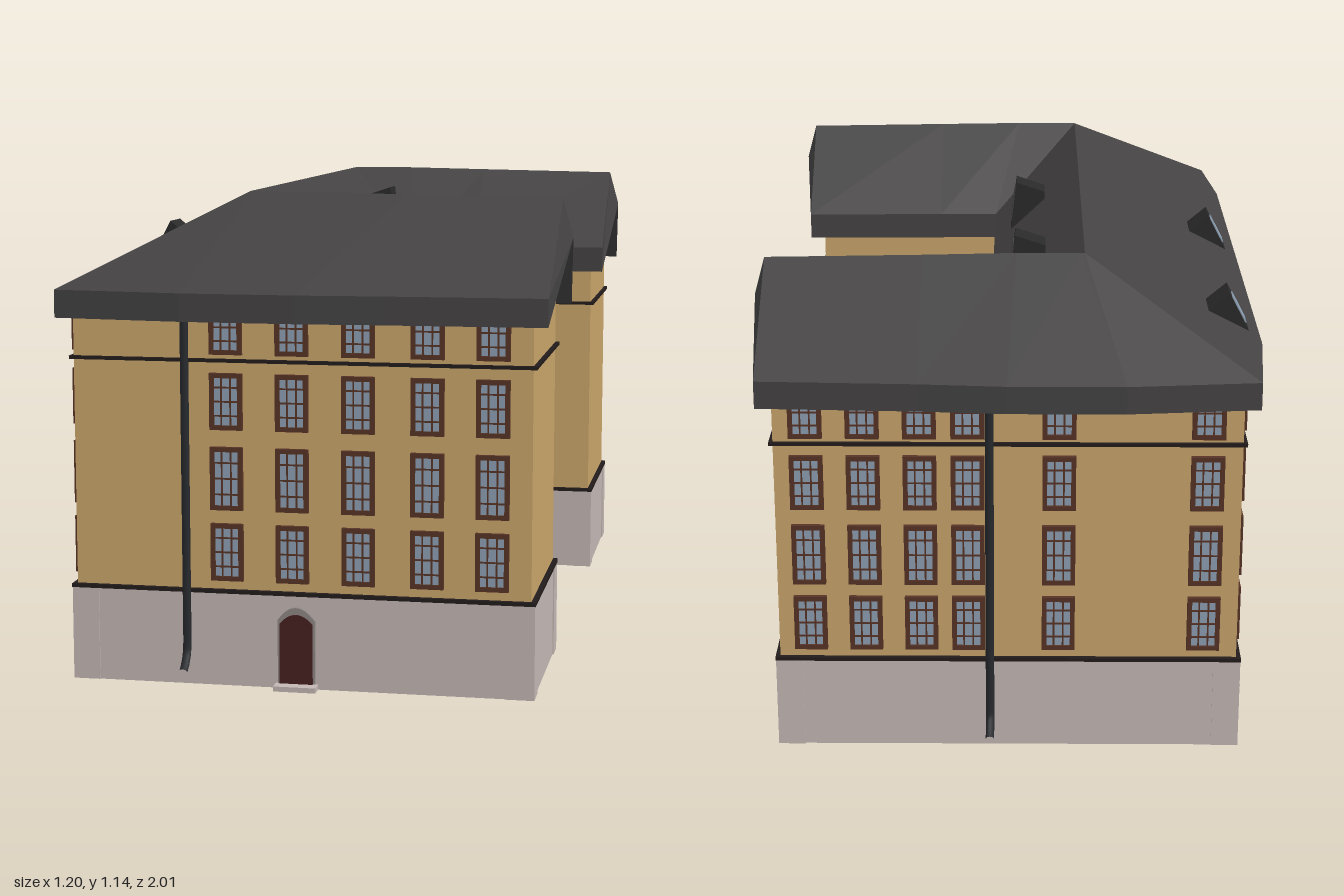
import * as THREE from 'three';
import { mergeGeometries } from 'three/addons/utils/BufferGeometryUtils.js';

const mat = (color, extra = {}) => new THREE.MeshStandardMaterial({ color, ...extra });
const M = {
  wall: mat(0xc9a56b), stone: mat(0xc3b7b3), trim: mat(0x221c1b),
  roof: mat(0x444243, { flatShading: true, side: THREE.DoubleSide }),
  frame: mat(0x573325), glass: mat(0x8c9fb2), door: mat(0x45201f),
  surround: mat(0x8d8583), pipe: mat(0x26292d), dark: mat(0x2a2a2b),
};

// Plan of the house: a U open towards +x
const W = -0.54, E = 0.535, COURT = 0.01, ZO = 0.94, ZI = 0.48;
const outline = (o) => [
  [W - o, ZO + o], [E + o, ZO + o], [E + o, ZI - o], [COURT + o, ZI - o],
  [COURT + o, -ZI + o], [E + o, -ZI + o], [E + o, -ZO - o], [W - o, -ZO - o],
].map(([x, z]) => new THREE.Vector2(x, -z));

function mesh(name, geometry, material) {
  const m = new THREE.Mesh(geometry, material);
  m.name = name;
  return m;
}

const box = (w, h, d, x = 0, y = 0, z = 0) => new THREE.BoxGeometry(w, h, d).translate(x, y, z);

// Thin hollow wall following the plan, from y0 to y1
function ring(name, o, y0, y1, thick, material) {
  const s = new THREE.Shape(outline(o));
  s.holes.push(new THREE.Path(outline(o - thick)));
  const g = new THREE.ExtrudeGeometry(s, { depth: y1 - y0, bevelEnabled: false });
  return mesh(name, g.rotateX(-Math.PI / 2).translate(0, y0, 0), material);
}

// Position on one of the faces: u runs along the wall, o pushes outwards
const FACES = {
  front: (u, o) => [u, ZO + o, 0],
  back: (u, o) => [u, -ZO - o, Math.PI],
  west: (u, o) => [W - o, u, -Math.PI / 2],
  court: (u, o) => [COURT + o, u, Math.PI / 2],
  innerFront: (u, o) => [u, ZI - o, Math.PI],
  innerBack: (u, o) => [u, -ZI + o, 0],
};
function place(obj, face, u, y, o = 0) {
  const [x, z, a] = FACES[face](u, o);
  obj.position.set(x, y, z);
  obj.rotation.y = a;
  return obj;
}

// Window geometry, centred on the wall so it shows on both sides
const cache = {};
function makeWindow(w, h, rows) {
  const key = [w, h, rows].join();
  if (!cache[key]) {
    const t = 0.011, bars = [];
    for (const s of [-1, 1]) {
      bars.push(box(t, h, 0.028, s * (w - t) / 2));
      bars.push(box(w, t, 0.028, 0, s * (h - t) / 2));
    }
    for (const s of [-1, 1]) bars.push(box(0.004, h, 0.023, s * w * 0.14));
    for (let i = 1; i < rows; i++) bars.push(box(w, 0.004, 0.023, 0, h * (i / rows - 0.5)));
    cache[key] = { frame: mergeGeometries(bars), glass: box(w - t, h - t, 0.019) };
  }
  const g = new THREE.Group();
  g.name = 'window';
  g.add(mesh('windowFrame', cache[key].frame, M.frame), mesh('windowGlass', cache[key].glass, M.glass));
  return g;
}

// Arched panel standing on y = 0
function arch(w, h, rise, depth) {
  const s = new THREE.Shape();
  s.moveTo(-w / 2, 0).lineTo(w / 2, 0).lineTo(w / 2, h - rise);
  s.quadraticCurveTo(w / 4, h, 0, h).quadraticCurveTo(-w / 4, h, -w / 2, h - rise);
  return new THREE.ExtrudeGeometry(s, { depth, bevelEnabled: false, curveSegments: 6 }).translate(0, 0, -depth / 2);
}
function makeDoor() {
  const g = new THREE.Group();
  g.name = 'door';
  g.add(mesh('doorSurround', arch(0.088, 0.18, 0.03, 0.024), M.surround));
  g.add(mesh('doorLeaf', arch(0.078, 0.164, 0.022, 0.032), M.door));
  g.add(mesh('doorStep', box(0.1, 0.012, 0.04, 0, -0.008, 0.018), M.stone));
  return g;
}

// Downpipe with a kicked-out foot
function makePipe() {
  const pts = [[0.87, 0], [0.5, 0], [0.1, 0], [0.075, 0.004], [0.05, 0.025], [0.04, 0.04]];
  const path = new THREE.CurvePath();
  for (let i = 1; i < pts.length; i++) {
    const v = (p) => new THREE.Vector3(0, p[0], p[1]);
    path.add(new THREE.LineCurve3(v(pts[i - 1]), v(pts[i])));
  }
  return mesh('downpipe', new THREE.TubeGeometry(path, 40, 0.01, 8), M.pipe);
}

// Roof lofted along the U: each station holds outer eave, ridge and inner eave
function makeRoof() {
  const half = [ // [outer x, z], [ridge x, z, y], [inner x, z]
    [[0.57, 0.97], [0.57, 0.675, 1.13], [0.57, 0.44]],
    [[0.2, 0.985], [0.2, 0.675, 1.136], [0.2, 0.445]],
    [[0, 1], [-0.02, 0.672, 1.14], [0.045, 0.45]],
    [[-0.27, 1], [-0.17, 0.67, 1.14], [0.045, 0.45]],
    [[-0.575, 0.97], [-0.18, 0.67, 1.14], [0.045, 0.45]],
    [[-0.6, 0.69], [-0.18, 0.67, 1.14], [0.045, 0.45]],
  ];
  const flip = half.map((s) => s.map(([x, z, y]) => [x, -z, y])).reverse();
  const stations = [...half, ...flip];
  const pos = [], idx = [];
  stations.forEach(([o, r, n], i) => {
    const tip = i === 0 || i === stations.length - 1 ? 0.025 : 0;
    pos.push(o[0], 0.925, o[1], r[0], r[2], r[1], n[0], 0.928, n[1]);
    pos.push(n[0], 0.86, n[1], r[0] + tip, 1.04, r[1], o[0], 0.86, o[1]);
    if (!i) return;
    for (let k = 0; k < 6; k++) {
      const a = (i - 1) * 6 + k, b = (i - 1) * 6 + (k + 1) % 6;
      idx.push(a, b, a + 6, b, b + 6, a + 6);
    }
  });
  const e = (stations.length - 1) * 6;
  const quad = (a, b, c, d) => idx.push(a, b, c, a, c, d);
  quad(0, 5, 4, 1); quad(1, 4, 3, 2);
  quad(e, e + 1, e + 4, e + 5); quad(e + 1, e + 2, e + 3, e + 4);
  const g = new THREE.BufferGeometry();
  g.setAttribute('position', new THREE.Float32BufferAttribute(pos, 3));
  g.setIndex(idx);
  const flat = g.toNonIndexed();
  flat.computeVertexNormals();
  return mesh('roof', flat, M.roof);
}

// Wedge dormer from an x-y profile, with a panel on its first edge
function makeDormer(name, profile, z, width, panelMat) {
  const g = new THREE.Group();
  g.name = name;
  const s = new THREE.Shape(profile.map(([x, y]) => new THREE.Vector2(x, y)));
  g.add(mesh('dormerBody', new THREE.ExtrudeGeometry(s, { depth: width, bevelEnabled: false }).translate(0, 0, -width / 2), M.dark));
  const [[x0, y0], [x1, y1]] = profile;
  const len = Math.hypot(x1 - x0, y1 - y0);
  const p = mesh('dormerPanel', box(0.006, len * 0.65, width * 0.55), panelMat);
  p.position.set((x0 + x1) / 2, (y0 + y1) / 2, 0);
  p.rotation.z = Math.atan2(y1 - y0, x1 - x0) - Math.PI / 2;
  g.add(p);
  g.position.z = z;
  return g;
}

export function createModel() {
  const house = new THREE.Group();
  house.name = 'house';

  // Plinth, walls and string courses
  house.add(ring('plinth', 0.007, 0, 0.222, 0.012, M.stone));
  house.add(ring('walls', 0, 0.222, 0.885, 0.008, M.wall));
  house.add(ring('lowerBand', 0.011, 0.22, 0.229, 0.012, M.trim));
  house.add(ring('upperBand', 0.009, 0.762, 0.77, 0.01, M.trim));

  // Gables and corner stones
  for (const s of [-1, 1]) {
    const tri = new THREE.Shape([[-ZO, 0.885], [-ZI, 0.885], [-0.675, 1.04]].map(([a, b]) => new THREE.Vector2(a * s, b)));
    const gable = new THREE.ExtrudeGeometry(tri, { depth: 0.008, bevelEnabled: false }).rotateY(Math.PI / 2);
    house.add(mesh('gable', gable.translate(E - 0.008, 0, 0), M.wall));
    for (const [x, z, dx, dz] of [[W, ZO, 1, -1], [E, ZO, -1, -1], [E, ZI, -1, 1]]) {
      const c = box(0.064, 0.22, 0.064, x + dx * 0.022, 0.11, s * (z + dz * 0.022));
      house.add(mesh('cornerStone', c, M.stone));
    }
  }

  // Windows: rows of [bottom, top, panes high]
  const rows = [[0.25, 0.385, 4], [0.417, 0.565, 4], [0.605, 0.737, 4], [0.78, 0.875, 3]];
  const columns = {
    front: [4, [-0.175, -0.02, 0.135, 0.295, 0.445]],
    back: [4, [0.46, 0.33, 0.2, 0.09, -0.12, -0.46]],
    west: [4, [-0.85, -0.7, -0.54, -0.37, -0.06, 0.09, 0.24, 0.4, 0.64, 0.76, 0.88]],
    court: [3, [0.19, 0.035, -0.105, -0.36]],
    innerFront: [3, [0.46, 0.33, 0.2]],
    innerBack: [3, [0.21, 0.345]],
  };
  for (const [face, [count, us]] of Object.entries(columns)) {
    for (const [y0, y1, panes] of rows.slice(0, count)) {
      for (const u of us) house.add(place(makeWindow(0.077, y1 - y0, panes), face, u, (y0 + y1) / 2, -0.003));
    }
  }
  for (const u of [-0.35, 0.345]) house.add(place(makeWindow(0.08, 0.1, 2), 'west', u, 0.13, 0.003));

  // Doors and downpipes
  for (const [face, u] of [['front', -0.01], ['court', 0.11], ['west', -0.61], ['west', 0.105]]) {
    const door = place(makeDoor(), face, u, 0.014, 0.003);
    if (face === 'court') door.scale.y = 1.07;
    house.add(door);
  }
  for (const [face, u] of [['front', -0.27], ['back', 0.04], ['west', -0.18], ['west', 0.52]]) {
    house.add(place(makePipe(), face, u, 0, 0.017));
  }

  // Roof, skylights on the outer slope, dormers over the court
  house.add(makeRoof());
  for (const z of [-0.59, 0.105]) {
    house.add(makeDormer('skylight', [[-0.575, 0.935], [-0.525, 1.03], [-0.46, 0.975]].map((p) => p), z, 0.095, M.glass));
  }
  for (const z of [-0.345, 0.175]) {
    house.add(makeDormer('courtDormer', [[0, 0.97], [-0.015, 1.1], [-0.09, 1.075], [-0.09, 1.04]], z, 0.075, M.roof));
  }
  return house;
}
